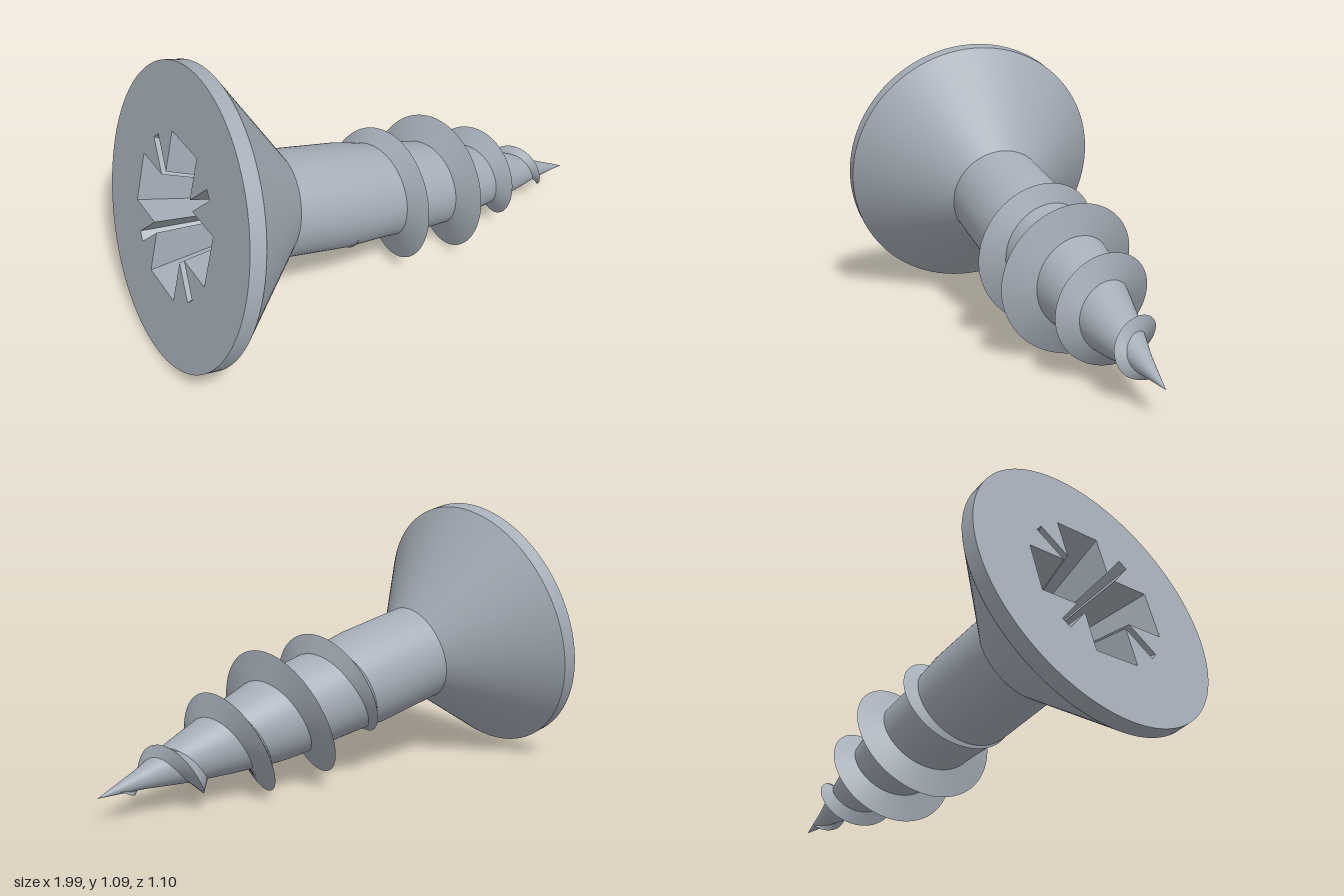
import * as THREE from 'three';

const steel = new THREE.MeshStandardMaterial({ color: 0xa5adb7 });
steel.name = 'steel';

// Radius tables: [distance from the head face, radius]
const CORE = [[0.405, 0.205], [0.7, 0.205], [0.85, 0.191], [1.12, 0.178], [1.2, 0.169],
  [1.4, 0.13], [1.6, 0.082], [1.75, 0.038], [1.916, 0]];
const CREST = [[0.68, 0.2], [0.76, 0.215], [0.82, 0.238], [0.88, 0.257], [0.95, 0.28], [1.01, 0.287],
  [1.2, 0.282], [1.27, 0.261], [1.33, 0.233], [1.4, 0.207], [1.46, 0.18], [1.52, 0.156],
  [1.6, 0.13], [1.65, 0.102], [1.75, 0.068], [1.79, 0.045], [1.84, 0.016]];

function radiusAt(table, s) {
  let i = 1;
  while (i < table.length - 1 && table[i][0] < s) i++;
  const [s0, r0] = table[i - 1], [s1, r1] = table[i];
  return r0 + (r1 - r0) * THREE.MathUtils.clamp((s - s0) / (s1 - s0), 0, 1);
}

// Surface lofted through a list of equally long point rows
function loft(rows) {
  const n = rows[0].length, index = [];
  for (let i = 0; i < rows.length - 1; i++) {
    for (let j = 0; j < n - 1; j++) {
      const a = i * n + j, b = a + n;
      index.push(a, b, a + 1, b, b + 1, a + 1);
    }
  }
  const g = new THREE.BufferGeometry();
  g.setAttribute('position', new THREE.Float32BufferAttribute(rows.flat(2), 3));
  g.setIndex(index);
  g.computeVertexNormals();
  return g;
}

function lathe(points) {
  return new THREE.LatheGeometry(points.map(([s, r]) => new THREE.Vector2(r, s)), 96);
}

// Cross recess outline with a thin slit on each diagonal
function recessOutline(scale) {
  const a = 0.1, arm = 0.29, e = 0.028, q = 0.2;
  const quarter = [[arm, -a], [arm, a], [a + e, a], [q + e, q], [q, q + e], [a, a + e]];
  const points = [];
  for (let k = 0; k < 4; k++) {
    for (const [x, y] of quarter) {
      points.push(new THREE.Vector2(x, y).rotateAround(new THREE.Vector2(), k * Math.PI / 2).multiplyScalar(scale));
    }
  }
  return points;
}

// One flank of the thread, running from base to crest or crest to base
function threadFlank(front) {
  const pitch = 0.2575, steps = 480, rows = [];
  for (let i = 0; i <= steps; i++) {
    const s = 0.68 + (1.84 - 0.68) * i / steps;
    const phi = 2 * Math.PI * (s - 1.137) / pitch;
    const core = radiusAt(CORE, s);
    const crest = Math.max(radiusAt(CREST, s), core - 0.004);
    const half = 0.042 * THREE.MathUtils.clamp((crest - core) / 0.05, 0.15, 1);
    const at = (r, y) => [r * Math.cos(phi), y, -r * Math.sin(phi)];
    const edge = front ? s + half : s - half;
    const base = at(Math.max(radiusAt(CORE, edge) - 0.006, 0), edge);
    const tip = at(crest, s);
    rows.push(front ? [tip, base] : [base, tip]);
  }
  return loft(rows);
}

export function createModel() {
  const model = new THREE.Group();
  model.name = 'screw';
  const body = new THREE.Group();
  body.name = 'screwBody';
  model.add(body);

  const add = (name, geometry) => {
    const mesh = new THREE.Mesh(geometry, steel);
    mesh.name = name;
    body.add(mesh);
  };

  // Countersunk head
  const R = 0.553;
  add('headRim', lathe([[0, R], [0.06, R]]));
  add('headCone', lathe([[0.06, R], [0.405, 0.205]]));

  // Head face with the drive recess cut into it
  const face = new THREE.Shape().absarc(0, 0, R, 0, Math.PI * 2);
  face.holes.push(new THREE.Path(recessOutline(1)));
  add('headFace', new THREE.ShapeGeometry(face, 96).rotateX(Math.PI / 2));

  const depth = 0.34, shrink = 0.55;
  const top = recessOutline(1), low = recessOutline(shrink);
  const rows = top.map((p, i) => [[p.x, 0, p.y], [low[i].x, depth, low[i].y]]);
  rows.push(rows[0]);
  const walls = loft(rows).toNonIndexed();
  walls.computeVertexNormals();
  add('recessWalls', walls);
  add('recessFloor', new THREE.ShapeGeometry(new THREE.Shape(low)).rotateX(Math.PI / 2).translate(0, depth, 0));

  // Tapered shank and helical thread
  add('shank', lathe(CORE));
  add('threadRearFlank', threadFlank(false));
  add('threadFrontFlank', threadFlank(true));

  // Tilt the screw so that its axis runs from the head to the tip
  const axis = new THREE.Vector3(1, -0.25, 0.21).normalize();
  const up = new THREE.Vector3(0, 1, 0).addScaledVector(axis, -axis.y).normalize();
  const side = new THREE.Vector3().crossVectors(up, axis);
  body.quaternion.setFromRotationMatrix(new THREE.Matrix4().makeBasis(up, axis, side));
  body.position.set(-0.825, 0.56, -0.008);
  return model;
}
